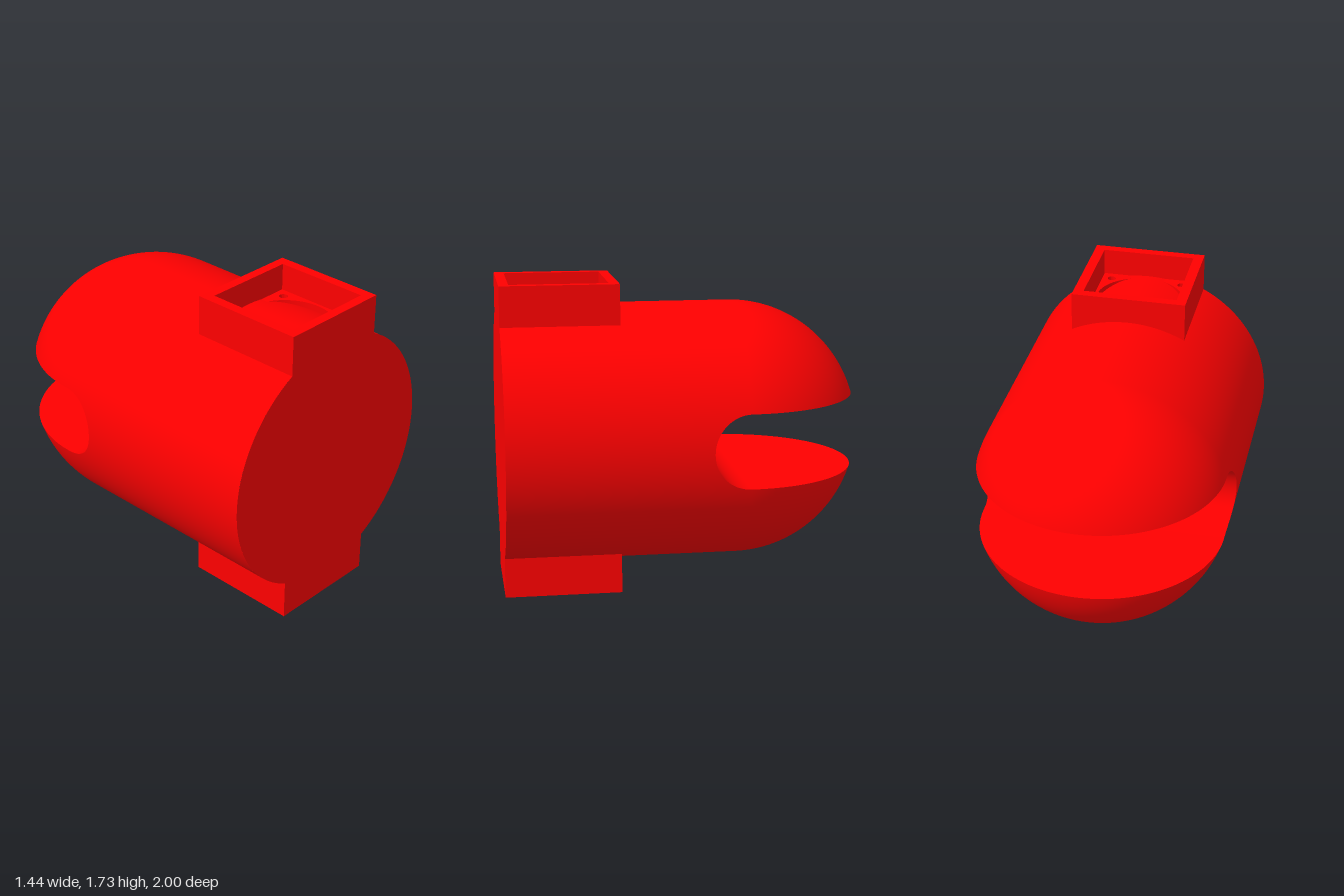
import * as THREE from 'three';
import { toCreasedNormals } from 'three/addons/utils/BufferGeometryUtils.js';
import { ParametricGeometry } from 'three/addons/geometries/ParametricGeometry.js';

const R = 0.72;      // body radius
const AXIS = 0.865;  // height of the body axis
const ZC = -0.31;    // centre of the dome and of the slot's round end
const S = 0.205;     // half height of the slot
const FRONT = 1;

const material = new THREE.MeshStandardMaterial({ color: 0xff0000 });

function addMesh(parent, name, geometry) {
  const mesh = new THREE.Mesh(geometry, material);
  mesh.name = name;
  parent.add(mesh);
  return mesh;
}

// Parametric patch with exact normals given by a rule
function patch(point, normal, slices, stacks) {
  const geo = new ParametricGeometry(point, slices, stacks);
  const pos = geo.attributes.position;
  const p = new THREE.Vector3();
  for (let i = 0; i < pos.count; i++) {
    normal(p.fromBufferAttribute(pos, i)).normalize();
    geo.attributes.normal.setXYZ(i, p.x, p.y, p.z);
  }
  return geo;
}

const halfWidth = (h) => Math.sqrt(Math.max(0, R * R - h * h));
const slotEnd = (h) => ZC + Math.sqrt(Math.max(0, S * S - h * h));
const slotHeight = (v) => -S * Math.cos(Math.PI * v);
const outerNormal = (p) => p.set(p.x, p.y, Math.min(p.z - ZC, 0));

// Half of the body above the slot: stacked U-shaped outlines that shrink upward
function shellGeometry() {
  const arc = 64, start = Math.asin(S / R);
  return patch((u, v, p) => {
    const theta = start + (Math.PI / 2 - start) * v;
    const h = R * Math.sin(theta), w = R * Math.cos(theta);
    const j = Math.round(u * (arc + 2));
    if (j === 0) p.set(w, h, FRONT);
    else if (j === arc + 2) p.set(-w, h, FRONT);
    else {
      const a = Math.PI * (j - 1) / arc;
      p.set(w * Math.cos(a), h, ZC - w * Math.sin(a));
    }
  }, outerNormal, arc + 2, 32);
}

// Side wall between the two shells, ending at the slot
function sideGeometry() {
  return patch((u, v, p) => {
    const h = slotHeight(v);
    p.set(halfWidth(h), h, FRONT + (slotEnd(h) - FRONT) * u);
  }, outerNormal, 2, 32);
}

// Rounded inner end of the slot
function slotEndGeometry() {
  return patch((u, v, p) => {
    const h = slotHeight(v);
    p.set(halfWidth(h) * (1 - 2 * u), h, slotEnd(h));
  }, (p) => p.set(0, -p.y, ZC - p.z), 2, 32);
}

function rect(w, d, Type) {
  return new Type([[-w, -d], [w, -d], [w, d], [-w, d]].map(([x, y]) => new THREE.Vector2(x, y)));
}

function circleHole(x, y, r) {
  const path = new THREE.Path();
  path.absarc(x, y, r, 0, Math.PI * 2, true);
  return path;
}

// Extrude a plan upward from one height to another
function slab(shape, bottom, top) {
  const geo = new THREE.ExtrudeGeometry(shape, { depth: top - bottom, bevelEnabled: false, curveSegments: 32 });
  geo.rotateX(-Math.PI / 2);
  geo.translate(0, bottom, 0);
  return toCreasedNormals(geo, 0.6);
}

// Square mount with a recess, a round opening and four screw holes
function createMount(name) {
  const mount = new THREE.Group();
  mount.name = name;
  const base = 0.63, floor = 0.713, top = 0.865;

  const frame = rect(0.325, 0.325, THREE.Shape);
  frame.holes.push(rect(0.267, 0.27, THREE.Path));
  addMesh(mount, 'mountFrame', slab(frame, base, top));

  const plate = rect(0.267, 0.27, THREE.Shape);
  plate.holes.push(circleHole(0, 0, 0.25));
  for (const x of [-0.21, 0.21])
    for (const z of [-0.21, 0.21]) plate.holes.push(circleHole(x, z, 0.024));
  addMesh(mount, 'mountFloor', slab(plate, base, floor));

  mount.position.z = 0.675;
  return mount;
}

export function createModel() {
  const model = new THREE.Group();
  model.name = 'slottedHousing';
  model.position.y = 0;

  const body = new THREE.Group();
  body.name = 'body';
  body.position.y = AXIS;
  model.add(body);

  // Shell, slot face, side wall and mount, repeated half a turn about the axis
  const shell = shellGeometry(), side = sideGeometry();
  const face = new THREE.CircleGeometry(halfWidth(S), 64, Math.PI, Math.PI);
  face.rotateX(Math.PI / 2);
  face.translate(0, S, ZC);
  for (const [label, turn] of [['upper', 0], ['lower', Math.PI]]) {
    const half = new THREE.Group();
    half.name = label + 'Half';
    half.rotation.z = turn;
    addMesh(half, label + 'Shell', shell);
    addMesh(half, label + 'SlotFace', face);
    addMesh(half, turn ? 'rightSideWall' : 'leftSideWall', side);
    half.add(createMount(label + 'Mount'));
    body.add(half);
  }

  addMesh(body, 'slotRoundEnd', slotEndGeometry());
  addMesh(body, 'frontFace', new THREE.CircleGeometry(R, 128)).position.z = FRONT;

  return model;
}
